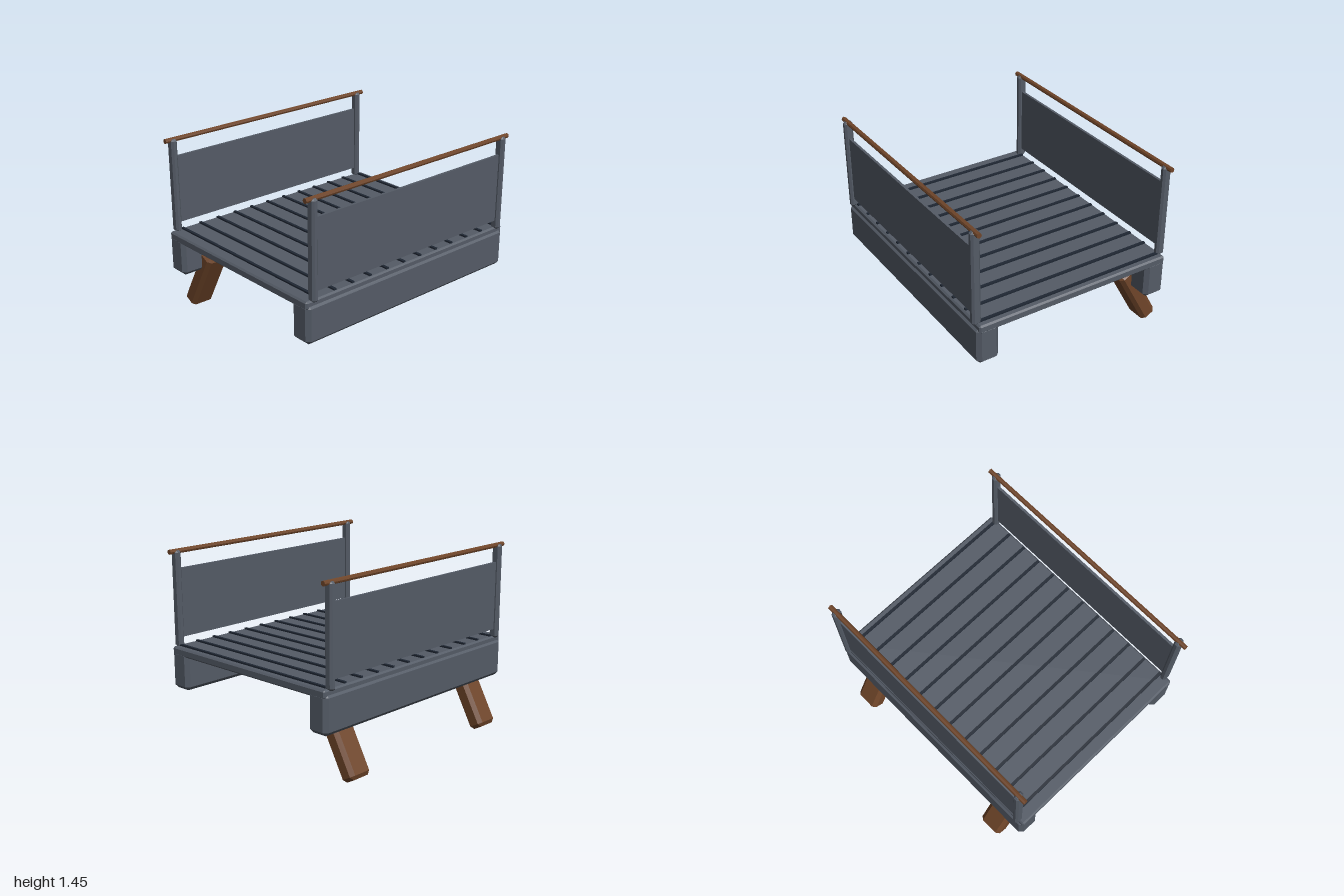
import * as THREE from 'three';
import { ConvexGeometry } from 'three/addons/geometries/ConvexGeometry.js';

const metal = new THREE.MeshStandardMaterial({ color: 0x545b66, flatShading: true });
const dark = new THREE.MeshStandardMaterial({ color: 0x1f2733, flatShading: true });
const wood = new THREE.MeshStandardMaterial({ color: 0x6f4529, flatShading: true });

// Box with every edge cut off at 45 degrees
function chamferBox(w, h, d, c) {
  const half = [w / 2, h / 2, d / 2];
  const points = [];
  for (const sx of [-1, 1]) for (const sy of [-1, 1]) for (const sz of [-1, 1]) {
    for (let full = 0; full < 3; full++) {
      const [x, y, z] = half.map((v, i) => (i === full ? v : v - c));
      points.push(new THREE.Vector3(sx * x, sy * y, sz * z));
    }
  }
  return new ConvexGeometry(points);
}

export function createModel() {
  const model = new THREE.Group();
  model.name = 'footbridge';
  const add = (parent, name, geometry, material, x, y, z) => {
    const mesh = new THREE.Mesh(geometry, material);
    mesh.name = name;
    mesh.position.set(x, y, z);
    parent.add(mesh);
    return mesh;
  };

  // The bridge sits slightly off centre because the legs stick out on one side
  const bridge = new THREE.Group();
  bridge.name = 'bridge';
  bridge.position.x = 0.035;
  model.add(bridge);

  // Deck with raised dark strips
  add(bridge, 'deck', chamferBox(1.61, 0.065, 2, 0.012), metal, 0, 0.6775, 0);
  const stripGeo = new THREE.BoxGeometry(1.58, 0.03, 0.022);
  for (let i = 0; i < 12; i++) {
    add(bridge, 'deckStrip', stripGeo, dark, 0, 0.707, -0.942 + i * 0.167);
  }

  // Each side: beam, two posts, panel and handrail
  const beamGeo = chamferBox(0.178, 0.305, 2, 0.03);
  const postGeo = chamferBox(0.07, 0.745, 0.052, 0.015);
  const panelGeo = new THREE.BoxGeometry(0.02, 0.535, 1.83);
  const railGeo = new THREE.CylinderGeometry(0.019, 0.019, 2, 8).rotateX(Math.PI / 2);
  for (const [side, s] of [['left', 1], ['right', -1]]) {
    const group = new THREE.Group();
    group.name = side + 'Side';
    bridge.add(group);
    add(group, 'beam', beamGeo, metal, s * 0.731, 0.5325, 0);
    for (const z of [-0.934, 0.934]) add(group, 'post', postGeo, metal, s * 0.799, 1.0725, z);
    add(group, 'panel', panelGeo, metal, s * 0.799, 1.0375, 0);
    add(group, 'handrail', railGeo, wood, s * 0.799, 1.437, 0);
  }

  // Slanted wooden legs under the right beam
  const legGeo = chamferBox(0.131, 0.565, 0.197, 0.028);
  for (const z of [-0.735, 0.735]) {
    add(model, 'leg', legGeo, wood, -0.695, 0.272, z).rotation.z = -0.5;
  }
  return model;
}
